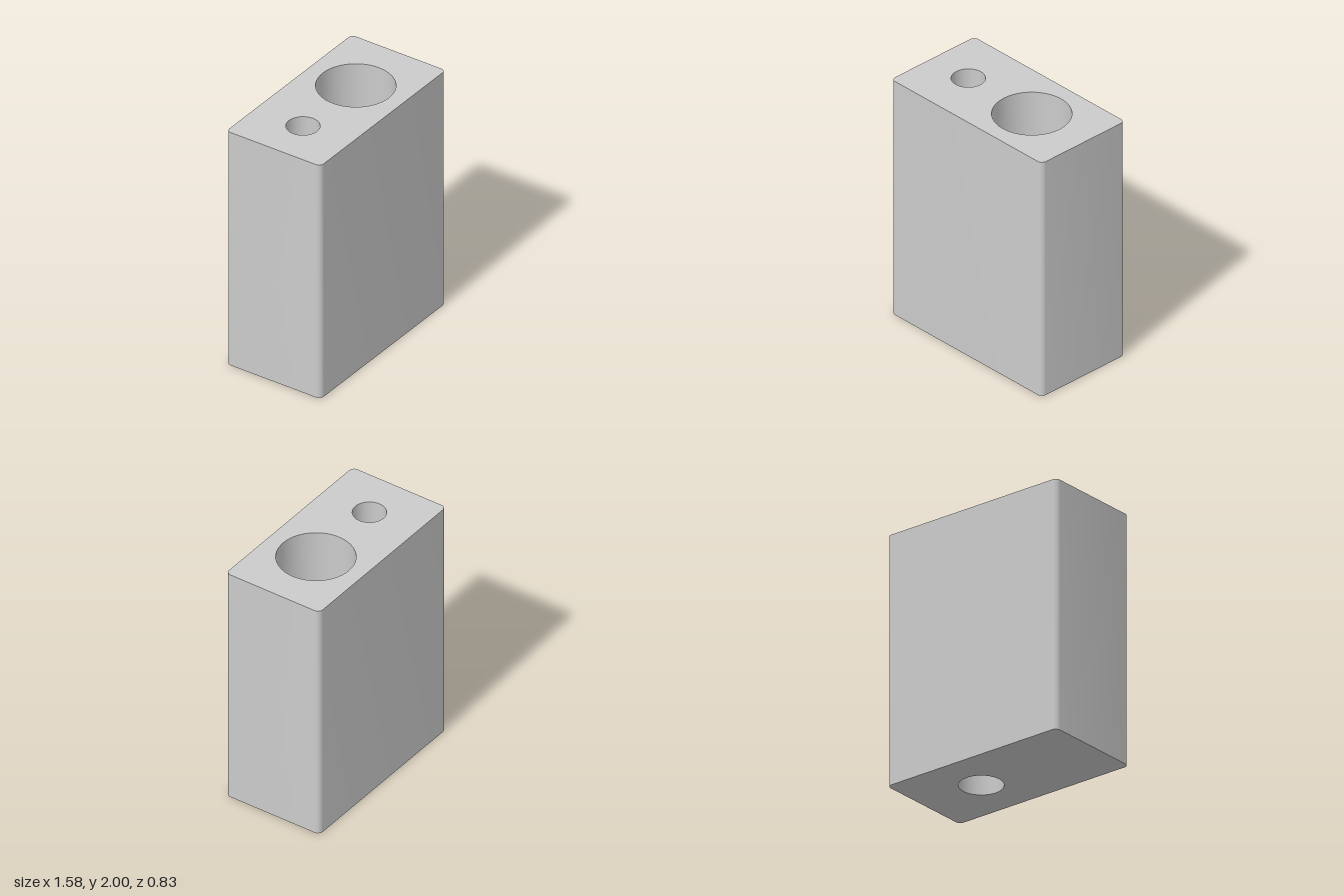
import * as THREE from 'three';
import { toCreasedNormals } from 'three/addons/utils/BufferGeometryUtils.js';

const W = 1.583, H = 2, D = 0.833, CORNER = 0.042;
const SEGMENTS = 48;
const BORE = { x: 0.25, r: 0.292, throughR: 0.167, ledgeY: 0.4 };
const POCKET = { x: -0.417, r: 0.125, floorY: 0.75 };

// Rounded rectangle, optionally pierced by round holes
function plate(holes = []) {
  const x = W / 2, y = D / 2, r = CORNER;
  const s = new THREE.Shape();
  s.absarc(x - r, y - r, r, 0, Math.PI / 2);
  s.absarc(-x + r, y - r, r, Math.PI / 2, Math.PI);
  s.absarc(-x + r, -y + r, r, Math.PI, Math.PI * 1.5);
  s.absarc(x - r, -y + r, r, Math.PI * 1.5, Math.PI * 2);
  s.closePath();
  for (const [hx, hr] of holes) {
    s.holes.push(new THREE.Path().absarc(hx, 0, hr, 0, Math.PI * 2, true));
  }
  return s;
}

export function createModel() {
  const group = new THREE.Group();
  const material = new THREE.MeshStandardMaterial({ color: 0xcccccc });
  const add = (name, geometry, x = 0, y = 0) => {
    const mesh = new THREE.Mesh(geometry, material);
    mesh.name = name;
    mesh.position.set(x, y, 0);
    group.add(mesh);
  };

  // Outer walls: only the side faces of the extruded outline
  const solid = new THREE.ExtrudeGeometry(plate(), { depth: H, bevelEnabled: false, curveSegments: 8 });
  const { start, count } = solid.groups[1];
  const walls = new THREE.BufferGeometry();
  walls.setAttribute('position', new THREE.BufferAttribute(
    solid.attributes.position.array.slice(start * 3, (start + count) * 3), 3));
  walls.rotateX(-Math.PI / 2);
  add('outerWalls', toCreasedNormals(walls, 0.5));

  // Top face with both openings, bottom face with the through hole
  const top = plate([[BORE.x, BORE.r], [POCKET.x, POCKET.r]]);
  add('topFace', new THREE.ShapeGeometry(top, SEGMENTS / 2).rotateX(-Math.PI / 2), 0, H);
  const bottom = plate([[BORE.x, BORE.throughR]]);
  add('bottomFace', new THREE.ShapeGeometry(bottom, SEGMENTS / 2).rotateX(Math.PI / 2));

  // Hole linings, profiles run downwards so they face the axis
  const lining = (points) => toCreasedNormals(
    new THREE.LatheGeometry(points.map(([r, y]) => new THREE.Vector2(r, y)), SEGMENTS), 0.5);
  add('steppedBore', lining([
    [BORE.r, H], [BORE.r, BORE.ledgeY], [BORE.throughR, BORE.ledgeY], [BORE.throughR, 0],
  ]), BORE.x);
  add('smallPocket', lining([
    [POCKET.r, H], [POCKET.r, POCKET.floorY], [0, POCKET.floorY],
  ]), POCKET.x);

  return group;
}
